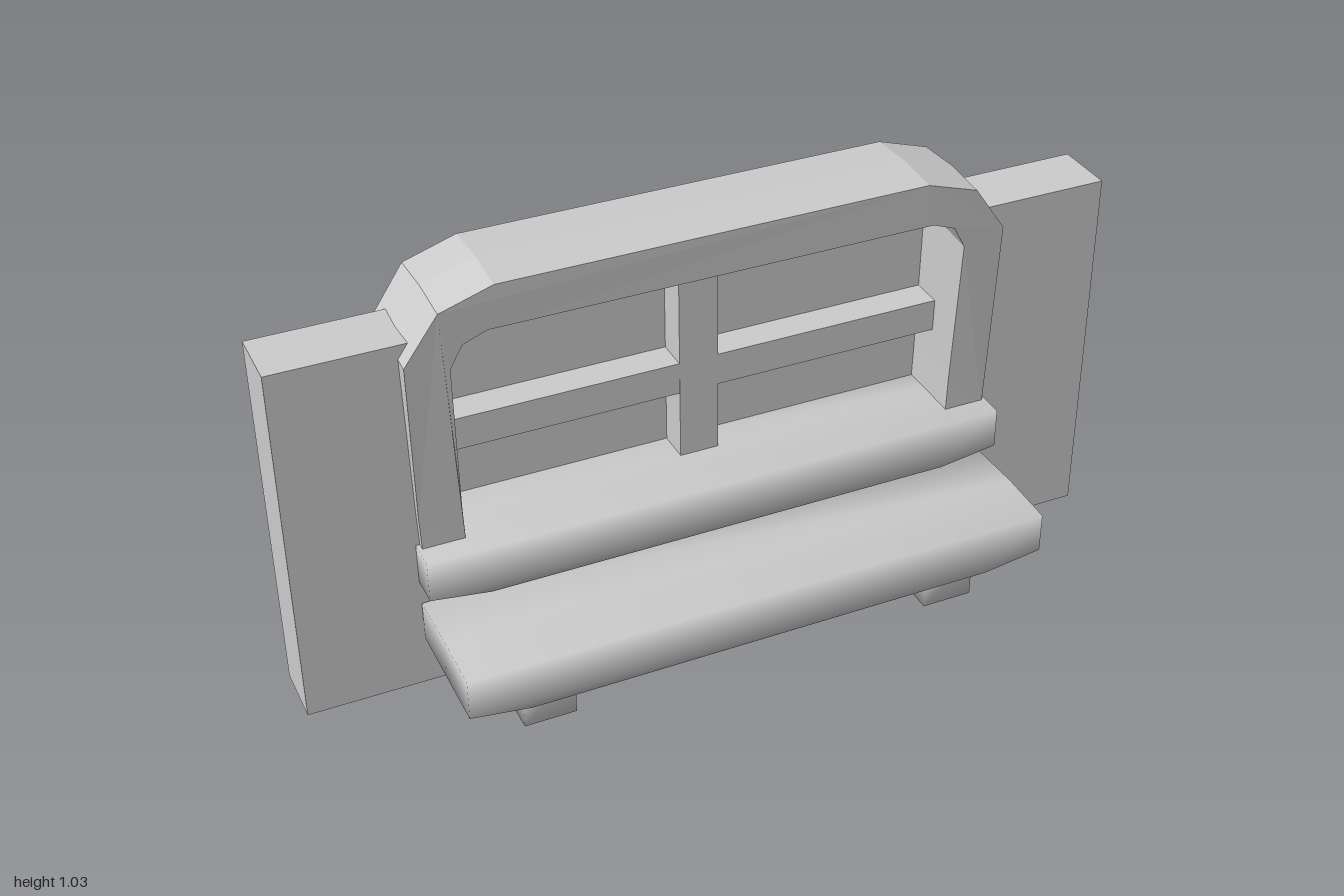
import * as THREE from 'three';
import { mergeVertices } from 'three/addons/utils/BufferGeometryUtils.js';

const MID = -0.115; // centre plane of wall and window frame

const material = new THREE.MeshStandardMaterial({ color: 0xcccccc });
const paneMaterial = new THREE.MeshStandardMaterial({ color: 0xcccccc, side: THREE.DoubleSide });

function add(group, name, geometry, x = 0, y = 0, z = 0, mat = material) {
  const mesh = new THREE.Mesh(geometry, mat);
  mesh.name = name;
  mesh.position.set(x, y, z);
  group.add(mesh);
  return mesh;
}

// Closed shape from its +x half, listed bottom to top, mirrored to -x
function mirrored(half) {
  const other = half.map(([x, y]) => [-x, y]).reverse();
  return [...half, ...other].map(([x, y]) => new THREE.Vector2(x, y));
}

// Extrusion centred on z = 0
function slab(points, depth, steps = 1) {
  return new THREE.ExtrudeGeometry(new THREE.Shape(points), { depth, steps, bevelEnabled: false })
    .translate(0, 0, -depth / 2);
}

// Shares corner normals so that blocks look softly rounded
function soften(geometry) {
  geometry.deleteAttribute('normal');
  geometry.deleteAttribute('uv');
  const merged = mergeVertices(geometry, 1e-4);
  merged.computeVertexNormals();
  return merged;
}

// Long board with undercut ends and a slightly crowned top
function board(crown) {
  const g = slab(mirrored([[0.57, 0], [0.715, 0.021], [0.715, 0.121]]), 0.3, 2);
  const p = g.attributes.position;
  for (let i = 0; i < p.count; i++) {
    if (p.getY(i) > 0.1 && Math.abs(p.getZ(i)) < 0.01) p.setY(i, p.getY(i) + crown);
  }
  return soften(g);
}

// Arched surround that grows deeper towards the top
function surround() {
  const outer = [[0.705, 0.37], [0.708, 0.47], [0.715, 0.868], [0.635, 0.983], [0.51, 1.023]];
  const inner = [[0.605, 0.37], [0.608, 0.47], [0.615, 0.84], [0.585, 0.895], [0.53, 0.917]];
  const loop = [...mirrored(outer), ...mirrored(inner).reverse()];
  const g = slab(loop, 2, 2);
  const p = g.attributes.position;
  for (let i = 0; i < p.count; i++) {
    const y = p.getY(i), z = p.getZ(i);
    const half = 0.093 + 0.024 * THREE.MathUtils.clamp((y - 0.47) / 0.5, 0, 1);
    p.setZ(i, z * half);
    if (Math.abs(z) < 0.01 && y > 0.8) p.setY(i, y + 0.008);
  }
  g.computeVertexNormals();
  return g;
}

export function createModel() {
  const group = new THREE.Group();
  group.name = 'windowWithBench';

  // Wall with an open notch for the window
  const wallOutline = [
    [-1, 0], [1, 0], [1, 0.905], [0.69, 0.905], [0.66, 0.35],
    [-0.66, 0.35], [-0.69, 0.905], [-1, 0.905],
  ].map(([x, y]) => new THREE.Vector2(x, y));
  add(group, 'wall', slab(wallOutline, 0.15), 0, 0, MID);

  // Window
  add(group, 'windowSurround', surround(), 0, 0, MID);
  const pane = mirrored([[0.64, 0.35], [0.64, 0.86], [0.55, 0.95]]);
  add(group, 'windowPane', new THREE.ShapeGeometry(new THREE.Shape(pane)), 0, 0, -0.19, paneMaterial);
  add(group, 'verticalBar', new THREE.BoxGeometry(0.096, 0.57, 0.08), 0, 0.645, -0.15);
  add(group, 'horizontalBar', new THREE.BoxGeometry(1.23, 0.08, 0.08), 0, 0.6, -0.151);
  add(group, 'windowSill', board(0.002), 0, 0.265, MID);

  // Bench in front of the wall
  add(group, 'benchSeat', board(0.006), 0, 0.108, MID + 0.23);
  for (const side of [-1, 1]) {
    const leg = soften(new THREE.BoxGeometry(0.125, 0.12, 0.15));
    add(group, side > 0 ? 'leftBenchLeg' : 'rightBenchLeg', leg, side * 0.508, 0.06, 0.125);
  }
  return group;
}
